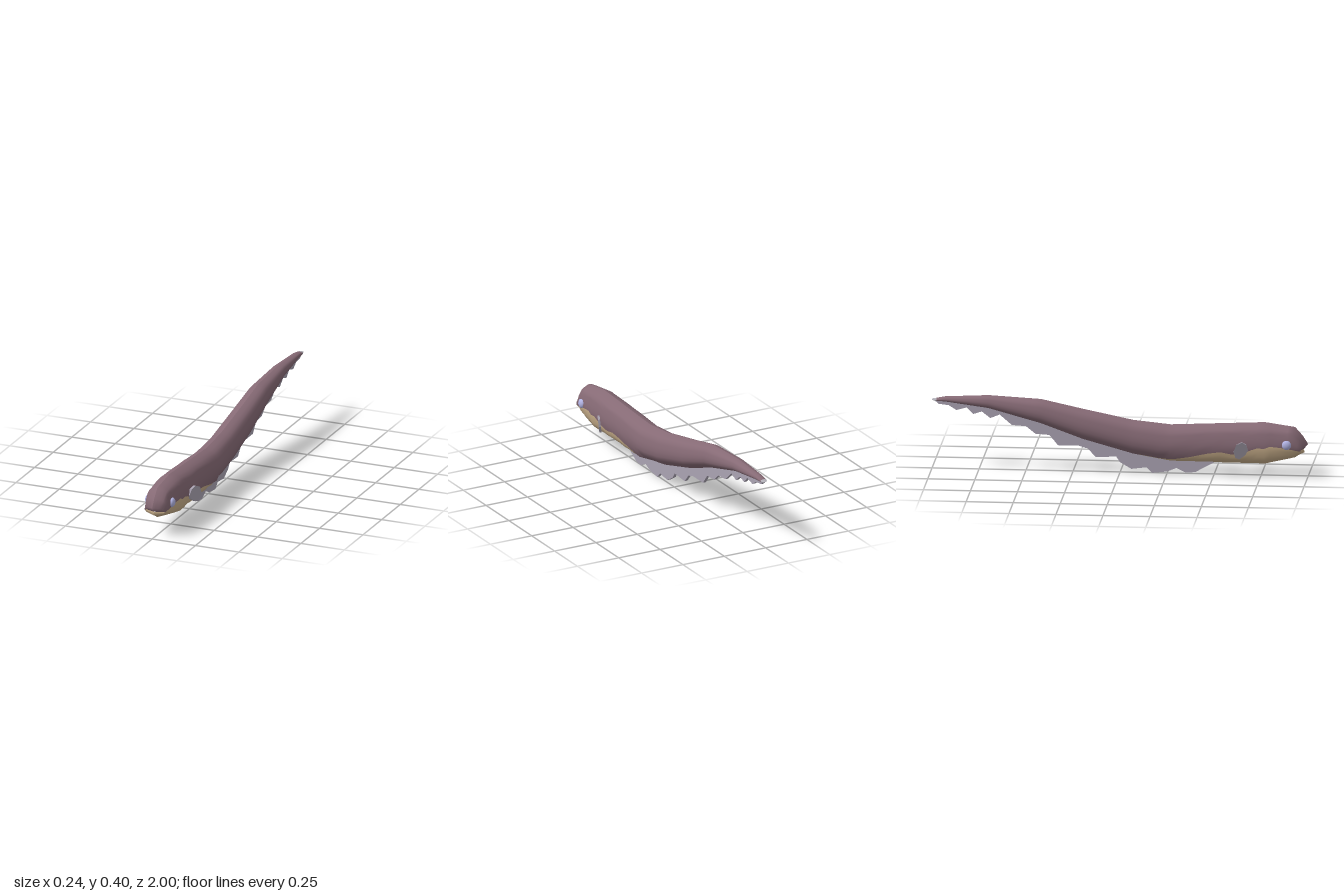
import * as THREE from 'three';

const mat = (name, color) => Object.assign(new THREE.MeshStandardMaterial({ color }), { name });

// Piecewise linear lookup: rows sorted by descending first value
function lookup(rows, z) {
  let i = 0;
  while (i < rows.length - 2 && z < rows[i + 1][0]) i++;
  const a = rows[i], b = rows[i + 1];
  const t = THREE.MathUtils.clamp((z - a[0]) / (b[0] - a[0]), 0, 1);
  return a.map((v, k) => v + (b[k] - v) * t);
}

// Body stations: z, bottom, top, half width, sweep back at the sides, forward lean with height
const STATIONS = [
  [0.976, 0.1459, 0.1461, 0.055, 0.38, 0],
  [0.99, 0.128, 0.174, 0.059, 0.42, 0.4],
  [0.93, 0.1, 0.265, 0.069, 0.1, 0],
  [0.77, 0.063, 0.288, 0.08, 0, 0],
  [0.27, 0.066, 0.265, 0.078, 0, 0],
  [0.07, 0.1, 0.285, 0.071, 0, 0],
  [-0.2, 0.175, 0.34, 0.066, 0, 0],
  [-0.42, 0.255, 0.388, 0.058, 0, 0],
  [-0.7, 0.332, 0.403, 0.038, 0, 0],
  [-0.93, 0.363, 0.391, 0.022, 0, 0],
  [-0.975, 0.366, 0.382, 0.019, 0, 0],
  [-1, 0.371, 0.377, 0.012, 0, 0],
];
// Height of the wavy edge between belly and back
const BELLY = [[1, 0.146], [0.97, 0.146], [0.93, 0.153], [0.87, 0.165], [0.8, 0.172], [0.76, 0.155], [0.73, 0.165],
  [0.69, 0.145], [0.62, 0.12], [0.54, 0.137], [0.46, 0.125], [0.38, 0.105], [0.3, 0.092], [0.2, 0.084], [0.1, 0.1]];
// Half cross-section: height fraction (descending), width fraction
const SECTION = [[1, 0], [0.96, 0.34], [0.86, 0.75], [0.66, 0.92], [0.5, 0.99], [0.36, 0.98], [0.12, 0.77], [0, 0]];
const LOW = 6, HIGH = 10;

function bodyGeometry() {
  // Subdivide the spans between stations
  const rings = [];
  STATIONS.forEach((s, i) => {
    rings.push(s);
    const next = STATIONS[i + 1];
    if (!next || i < 1) return;
    const n = Math.ceil((s[0] - next[0]) / 0.035);
    for (let k = 1; k < n; k++) rings.push(s.map((v, c) => v + (next[c] - v) * k / n));
  });
  const pos = [], faces = [[], [], []], rows = LOW + HIGH + 1;
  for (const side of [1, -1]) {
    const base = pos.length / 3;
    rings.forEach(([z, bottom, top, w, sweep, lean], i) => {
      const h = top - bottom;
      const edge = THREE.MathUtils.clamp((lookup(BELLY, z)[1] - bottom) / h, 0.04, 0.6);
      for (let j = 0; j < rows; j++) {
        const v = j <= LOW
          ? edge * (1 - Math.cos(j / LOW * Math.PI / 2))
          : edge + (1 - edge) * Math.sin((j - LOW) / HIGH * Math.PI / 2);
        const x = w * lookup(SECTION, v)[1];
        pos.push(side * x, bottom + h * v, z - sweep * x + lean * h * (v - 0.5));
        if (i === rings.length - 1 || j === rows - 1) continue;
        const a = base + i * rows + j, b = a + 1, c = a + rows, d = c + 1;
        const group = z < -0.97 ? 2 : j < LOW && z > 0.12 ? 1 : 0;
        faces[group].push(...(side > 0 ? [a, c, b, b, c, d] : [a, b, c, b, d, c]));
      }
    });
  }
  const g = new THREE.BufferGeometry();
  g.setAttribute('position', new THREE.Float32BufferAttribute(pos, 3));
  g.setIndex(faces.flat());
  let start = 0;
  faces.forEach((f, i) => { g.addGroup(start, f.length, i); start += f.length; });
  g.computeVertexNormals();
  return g;
}

// Plate from (z, y) outline points, thickness along x
function plate(points, thickness) {
  const shape = new THREE.Shape(points.map(([z, y]) => new THREE.Vector2(z, y)));
  const g = new THREE.ExtrudeGeometry(shape, { depth: thickness, bevelEnabled: false });
  return g.translate(0, 0, -thickness / 2).rotateY(-Math.PI / 2);
}

export function createModel() {
  const model = new THREE.Group();
  model.name = 'eel';
  const back = mat('back mauve', 0x866a75);
  const belly = mat('belly tan', 0xc8ae8a);
  const tip = mat('tail tip grey', 0xb2b0b8);
  const fin = mat('fin grey', 0xaaa3b2);
  const eye = mat('eye blue', 0xb2b4e4);
  const add = (name, geometry, material, parent = model) => {
    const m = new THREE.Mesh(geometry, material);
    m.name = name;
    parent.add(m);
    return m;
  };

  add('body', bodyGeometry(), [back, belly, tip]);

  // Long scalloped fin under the body, its upper edge hidden inside
  const lower = [[0.5, 0.065], [0.4, 0.01], [0.35, 0.005], [0.3, 0.03], [0.25, 0.01], [0.17, 0], [0.14, 0.03],
    [0.06, 0.02], [0, 0.055], [-0.02, 0.085], [-0.13, 0.08], [-0.17, 0.125], [-0.22, 0.14], [-0.33, 0.14],
    [-0.375, 0.195], [-0.45, 0.2], [-0.5, 0.24], [-0.575, 0.245], [-0.64, 0.3], [-0.69, 0.28], [-0.735, 0.315],
    [-0.78, 0.3], [-0.815, 0.335], [-0.87, 0.32], [-0.91, 0.345], [-0.965, 0.352], [-0.985, 0.37]];
  const upper = [-0.93, -0.7, -0.42, -0.2, 0.07, 0.27, 0.48].map((z) => [z, lookup(STATIONS.slice(1), z)[1] + 0.012]);
  add('bellyFin', plate([...lower, ...upper], 0.017), fin);

  // Paired side fins and eyes
  for (const side of [1, -1]) {
    const half = new THREE.Group();
    half.name = side > 0 ? 'leftSide' : 'rightSide';
    half.scale.x = side;
    model.add(half);

    // Side fin sheared outward towards its rear edge
    const g = plate([[0.687, 0.15], [0.677, 0.183], [0.655, 0.198], [0.627, 0.186], [0.613, 0.15],
      [0.622, 0.115], [0.642, 0.105], [0.672, 0.125]], 0.013);
    const p = g.attributes.position;
    for (let i = 0; i < p.count; i++) {
      p.setX(i, p.getX(i) + 0.073 + (0.69 - p.getZ(i)) * 0.5 + (p.getY(i) - 0.15) * 0.12);
    }
    g.computeVertexNormals();
    add('sideFin', g, fin, half);

    const ball = add('eye', new THREE.SphereGeometry(1, 20, 14), eye, half);
    ball.scale.set(0.015, 0.025, 0.025);
    ball.position.set(0.069, 0.18, 0.89);
  }
  return model;
}
